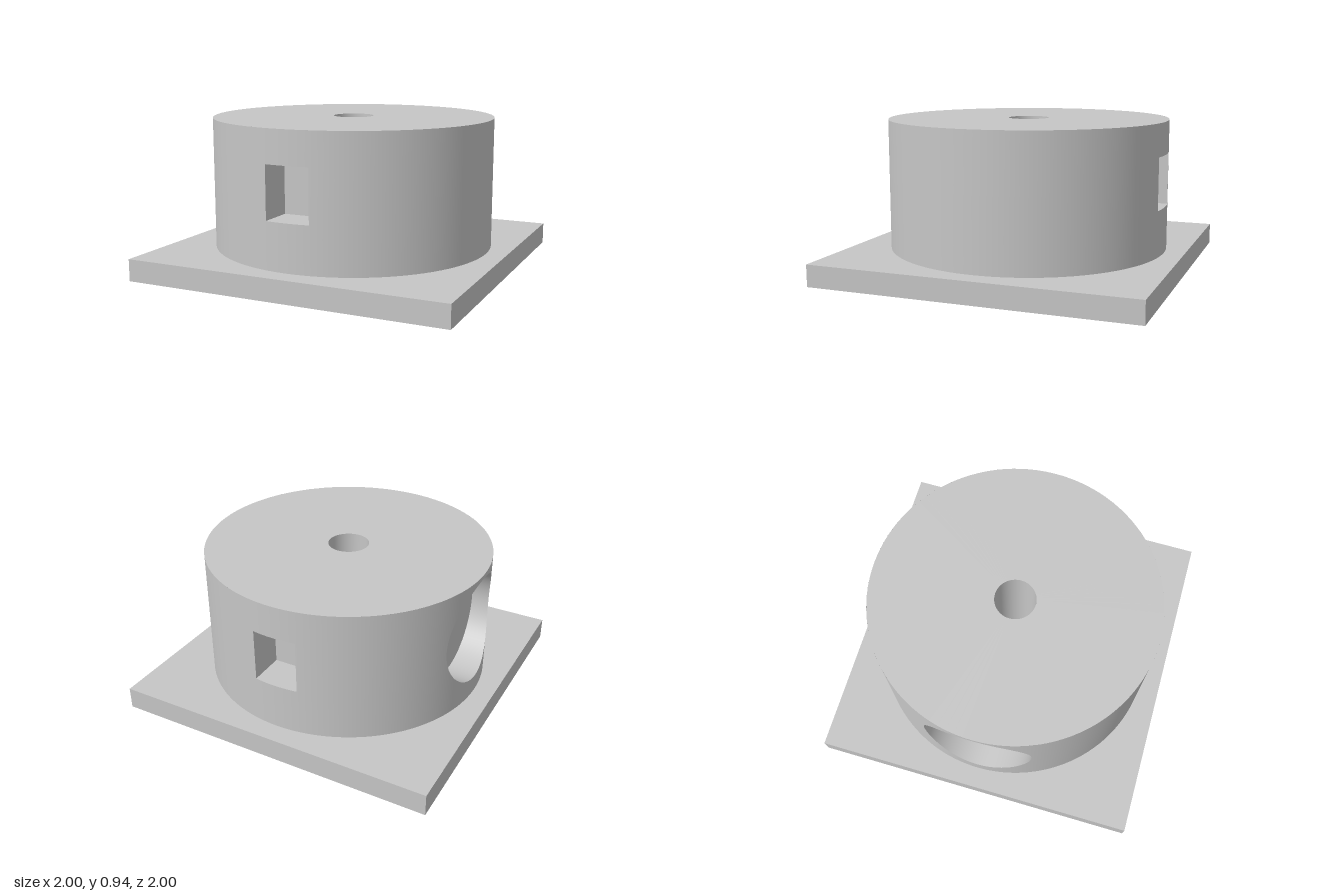
import * as THREE from 'three';
import { ParametricGeometry } from 'three/addons/geometries/ParametricGeometry.js';

const R = 0.875, BASE = 0.135, TOP = 0.94;             // drum
const BORE_R = 0.125;                                  // hole in the top
const CUP_R = 0.335, CUP_Y = 0.58, CUP_X = -0.7;       // round recess on -x
const PIN_R = 0.062;                                   // small hole in the recess
const WIN_W = 0.135, WIN_LO = 0.42, WIN_HI = 0.74, WIN_Z = 0.65; // square pockets

export function createModel() {
  const model = new THREE.Group();
  model.name = 'drumOnPlate';
  const grey = new THREE.MeshStandardMaterial({ color: 0xc6c6c6, side: THREE.DoubleSide });
  grey.name = 'grey';

  const add = (name, geometry, parent = model) => {
    const mesh = new THREE.Mesh(geometry, grey);
    mesh.name = name;
    parent.add(mesh);
    return mesh;
  };
  const sheet = (fn, nu, nv) => new ParametricGeometry(fn, nu, nv);
  const lerp = THREE.MathUtils.lerp;

  // Square base plate
  add('basePlate', new THREE.BoxGeometry(2, BASE, 2)).position.y = BASE / 2;

  // Drum wall: each angular span has a lower and an upper strip around its opening
  const wall = new THREE.Group();
  wall.name = 'drumWall';
  model.add(wall);
  const strip = (angle, from, to, n) => {
    const g = sheet((u, v, p) => {
      const a = angle(u);
      p.set(R * Math.sin(a), lerp(from(u), to(u), v), R * Math.cos(a));
    }, n, 1);
    const pos = g.attributes.position;
    for (let i = 0; i < pos.count; i++) {
      g.attributes.normal.setXYZ(i, pos.getX(i) / R, 0, pos.getZ(i) / R);
    }
    add('wallStrip', g, wall);
  };
  const span = (angle, lo, hi, n) => {
    strip(angle, () => BASE, lo, n);
    strip(angle, hi, () => TOP, n);
  };
  const flat = (a0, a1, lo, hi, n) => span((u) => lerp(a0, a1, u), () => lo, () => hi, n);
  const winA = Math.asin(WIN_W / R), cupA = Math.asin(CUP_R / R), side = Math.PI * 1.5;
  flat(-winA, winA, WIN_LO, WIN_HI, 6);
  flat(winA, Math.PI - winA, CUP_Y, CUP_Y, 48);
  flat(Math.PI - winA, Math.PI + winA, WIN_LO, WIN_HI, 6);
  flat(Math.PI + winA, side - cupA, CUP_Y, CUP_Y, 20);
  flat(side + cupA, Math.PI * 2 - winA, CUP_Y, CUP_Y, 20);
  span((u) => side - Math.asin(CUP_R * Math.cos(Math.PI * u) / R),
    (u) => CUP_Y - CUP_R * Math.sin(Math.PI * u),
    (u) => CUP_Y + CUP_R * Math.sin(Math.PI * u), 32);

  // Drum top with the central bore
  const top = add('drumTop', new THREE.RingGeometry(BORE_R, R, 104));
  top.rotation.x = -Math.PI / 2;
  top.position.y = TOP;
  add('boreWall', new THREE.CylinderGeometry(BORE_R, BORE_R, TOP - BASE, 48, 1, true))
    .position.y = (TOP + BASE) / 2;

  // Round recess with a small hole in its floor
  add('recessWall', sheet((u, v, p) => {
    const t = u * Math.PI * 2, z = CUP_R * Math.cos(t);
    p.set(lerp(-Math.sqrt(R * R - z * z), CUP_X, v), CUP_Y + CUP_R * Math.sin(t), z);
  }, 64, 1));
  const floor = add('recessFloor', new THREE.RingGeometry(PIN_R, CUP_R, 64));
  floor.rotation.y = -Math.PI / 2;
  floor.position.set(CUP_X, CUP_Y, 0);
  const pinLength = -BORE_R - CUP_X;
  const pin = add('pinHoleWall', new THREE.CylinderGeometry(PIN_R, PIN_R, pinLength, 32, 1, true));
  pin.rotation.z = Math.PI / 2;
  pin.position.set(CUP_X + pinLength / 2, CUP_Y, 0);
  const pinEnd = add('pinHoleEnd', new THREE.CircleGeometry(PIN_R, 32));
  pinEnd.rotation.y = -Math.PI / 2;
  pinEnd.position.set(-BORE_R, CUP_Y, 0);

  // Square pockets, front and back
  const corners = [[-WIN_W, WIN_LO], [WIN_W, WIN_LO], [WIN_W, WIN_HI], [-WIN_W, WIN_HI]];
  for (const name of ['frontPocket', 'backPocket']) {
    const pocket = new THREE.Group();
    pocket.name = name;
    pocket.rotation.y = name === 'backPocket' ? Math.PI : 0;
    model.add(pocket);
    corners.forEach(([x0, y0], i) => {
      const [x1, y1] = corners[(i + 1) % 4];
      add('pocketWall', sheet((u, v, p) => {
        const x = lerp(x0, x1, u);
        p.set(x, lerp(y0, y1, u), lerp(Math.sqrt(R * R - x * x), WIN_Z, v));
      }, 6, 1), pocket);
    });
    add('pocketEnd', new THREE.PlaneGeometry(WIN_W * 2, WIN_HI - WIN_LO), pocket)
      .position.set(0, (WIN_LO + WIN_HI) / 2, WIN_Z);
  }
  return model;
}
